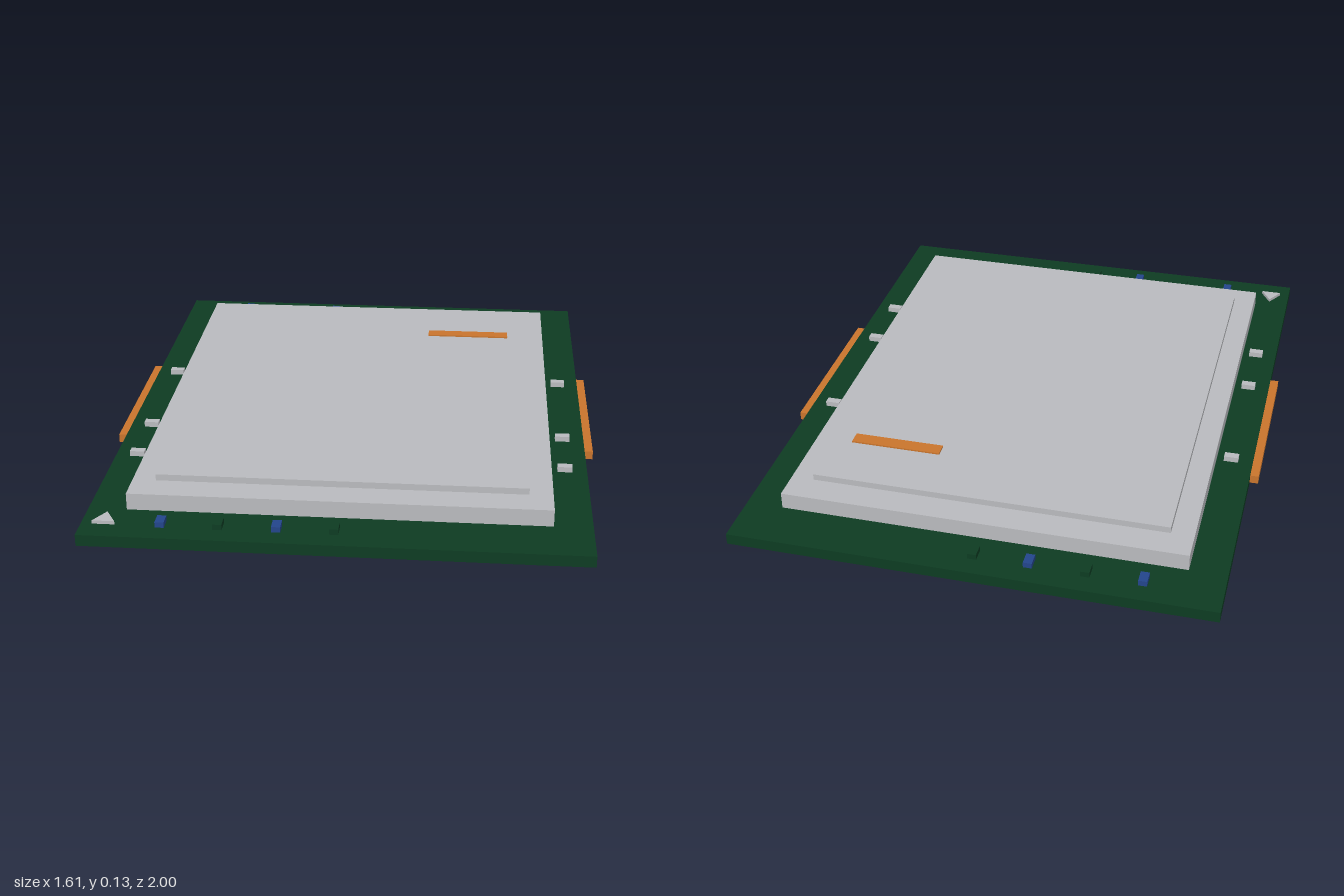
import * as THREE from 'three';

const flat = (name, color) => {
  const m = new THREE.MeshStandardMaterial({ color });
  m.name = name;
  return m;
};

export function createModel() {
  const green = flat('boardGreen', 0x0d3b22);
  const silver = flat('silver', 0xb9babe);
  const orange = flat('copperOrange', 0xc8742c);
  const blue = flat('componentBlue', 0x23458b);

  const group = new THREE.Group();
  group.name = 'processorChip';

  // Box centred on (x, z), spanning y0 to y1
  const slab = (name, mat, w, d, y0, y1, x = 0, z = 0) => {
    const mesh = new THREE.Mesh(new THREE.BoxGeometry(w, y1 - y0, d), mat);
    mesh.position.set(x, (y0 + y1) / 2, z);
    mesh.name = name;
    group.add(mesh);
  };

  // Stacked plates: contact pad, board, stepped heat spreader
  slab('contactPlate', silver, 1.44, 1.86, 0, 0.008);
  slab('circuitBoard', green, 1.55, 2, 0.008, 0.045);
  slab('heatSpreaderBase', silver, 1.31, 1.66, 0.045, 0.1);
  slab('heatSpreaderTop', silver, 1.162, 1.47, 0.1, 0.121);
  slab('accentStripe', orange, 0.3, 0.046, 0.121, 0.126, 0.37, -0.513);

  // Carrier tabs and silver capacitors on both long sides
  for (const s of [-1, 1]) {
    slab('sideTab', orange, 0.03, 0.6, 0.013, 0.041, s * 0.788, 0);
    for (const z of [-0.23, 0.226, 0.453])
      slab('sideCapacitor', silver, 0.048, 0.026, 0.045, 0.063, s * 0.703, z);
  }

  // Alternating small components along the front and back edges
  for (const z of [-0.913, 0.913])
    [-0.532, -0.356, -0.178, -0.003].forEach((x, i) =>
      slab('edgeComponent', i % 2 ? green : blue, 0.028, 0.045, 0.045, 0.063, x, z));

  // Raised corner alignment triangle, pointing to the back
  const tri = new THREE.Shape([
    new THREE.Vector2(-0.035, -0.03),
    new THREE.Vector2(0.035, -0.03),
    new THREE.Vector2(0, 0.03),
  ]);
  const triGeo = new THREE.ExtrudeGeometry(tri, { depth: 0.011, bevelEnabled: false });
  triGeo.rotateX(-Math.PI / 2);
  const marker = new THREE.Mesh(triGeo, silver);
  marker.position.set(-0.706, 0.045, 0.897);
  marker.name = 'cornerMarker';
  group.add(marker);

  return group;
}
